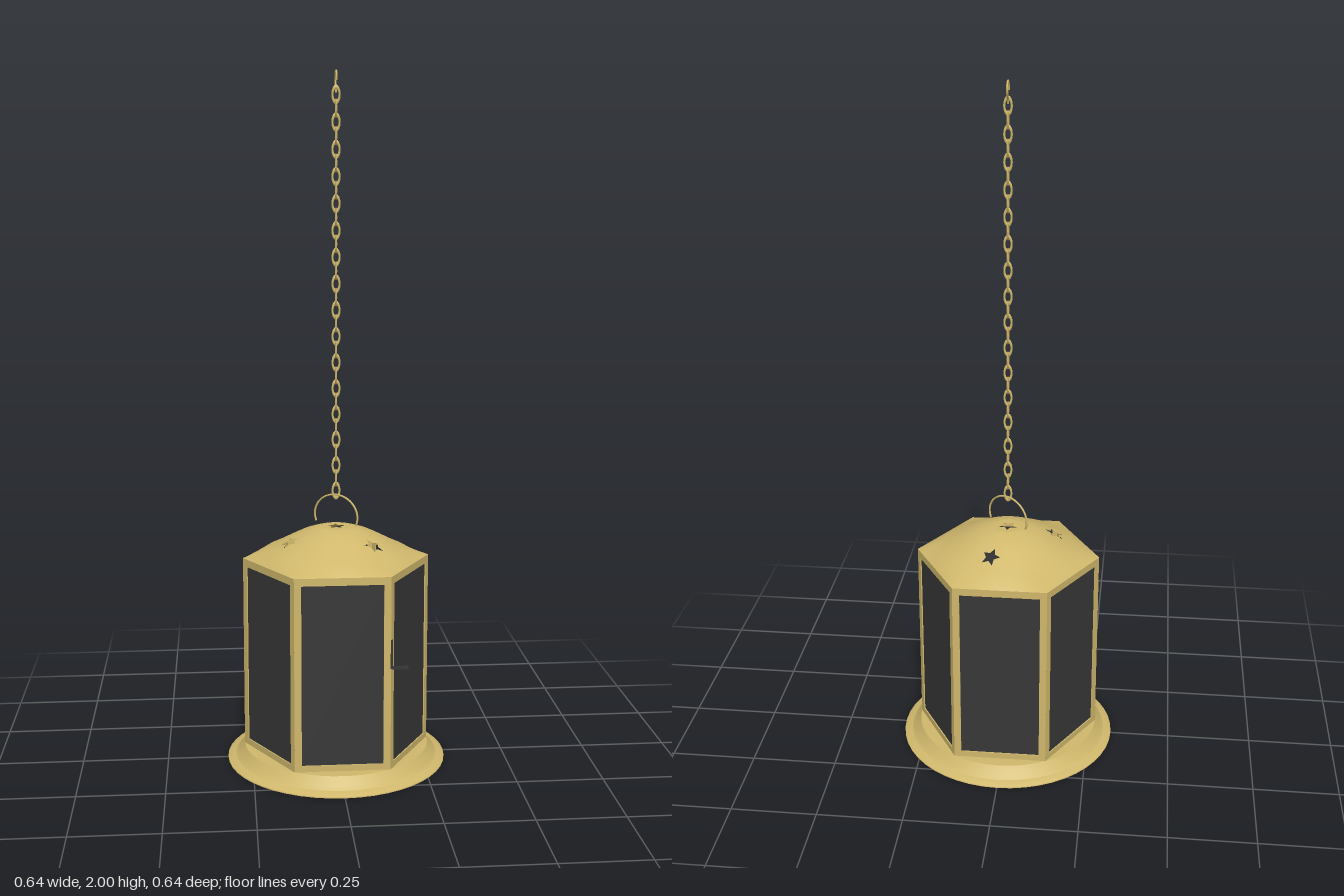
import * as THREE from 'three';
import { mergeVertices } from 'three/addons/utils/BufferGeometryUtils.js';

const brass = new THREE.MeshStandardMaterial({ color: 0xd0b86c, side: THREE.DoubleSide });
brass.name = 'brass';
const glass = new THREE.MeshStandardMaterial({ color: 0x383838, side: THREE.DoubleSide });
glass.name = 'dark glass';

const APOTHEM = 0.236, SIDE = 0.272, ROOF_Y = 0.61, SEGS = 48;

function part(parent, name, geometry, material) {
  const mesh = new THREE.Mesh(geometry, material);
  mesh.name = name;
  parent.add(mesh);
  return mesh;
}

const lathe = (points) => new THREE.LatheGeometry(points.map(([x, y]) => new THREE.Vector2(x, y)), 48);

function starPath(cx, cy, radius, turn) {
  const points = [];
  for (let i = 0; i < 10; i++) {
    const r = i % 2 ? radius * 0.48 : radius, a = turn + (i * Math.PI) / 5;
    points.push(new THREE.Vector2(cx + r * Math.cos(a), cy + r * Math.sin(a)));
  }
  return new THREE.Path(points);
}

// Domed roof: round rings blending into a hexagonal rim, with star holes
function roofGeometry() {
  const rings = [0.045, 0.06, 0.08, 0.1, 0.125, 0.15, 0.18, 0.21];
  const heights = [0.701, 0.698, 0.692, 0.685, 0.673, 0.66, 0.644, 0.63];
  const last = rings.length;
  const heightAt = (r) => {
    if (r <= rings[0]) return heights[0];
    const k = Math.max(1, rings.findIndex((v) => v >= r - 1e-6));
    const t = (r - rings[k - 1]) / (rings[k] - rings[k - 1]);
    return heights[k - 1] + t * (heights[k] - heights[k - 1]);
  };
  const flat = (ring, seg) => {
    const a = (seg / SEGS) * Math.PI * 2;
    const wedge = (((seg % 8) + 8) % 8 / 8) * (Math.PI / 3) - Math.PI / 6;
    const r = ring === last ? APOTHEM / Math.cos(wedge) : rings[ring];
    return new THREE.Vector2(r * Math.cos(a), r * Math.sin(a));
  };
  const positions = [];
  const put = (x, y, h) => positions.push(x, h, -y);
  const addPatch = (outline, hole) => {
    const shape = new THREE.Shape(outline);
    shape.holes.push(hole);
    const g = new THREE.ShapeGeometry(shape).toNonIndexed().attributes.position;
    for (let i = 0; i < g.count; i++) put(g.getX(i), g.getY(i), heightAt(Math.hypot(g.getX(i), g.getY(i))));
  };

  // Grid cells, skipping the ones that hold a star
  const starSegs = [10, 26, 42];
  for (let ring = 0; ring < last; ring++) {
    for (let seg = 0; seg < SEGS; seg++) {
      if (ring >= 3 && ring < 6 && starSegs.some((s) => seg >= s - 2 && seg < s + 2)) continue;
      const corners = [[ring, seg], [ring + 1, seg], [ring + 1, seg + 1], [ring, seg + 1]];
      for (const c of [0, 1, 2, 0, 2, 3]) {
        const p = flat(...corners[c]);
        put(p.x, p.y, corners[c][0] === last ? ROOF_Y : heights[corners[c][0]]);
      }
    }
  }
  // Pierced patches
  for (const s of starSegs) {
    const outline = [];
    for (let k = -2; k <= 2; k++) outline.push(flat(3, s + k));
    outline.push(flat(4, s + 2), flat(5, s + 2));
    for (let k = 2; k >= -2; k--) outline.push(flat(6, s + k));
    outline.push(flat(5, s - 2), flat(4, s - 2));
    const a = (s / SEGS) * Math.PI * 2;
    addPatch(outline, starPath(0.141 * Math.cos(a), 0.141 * Math.sin(a), 0.028, a + 0.5));
  }
  addPatch(Array.from({ length: SEGS }, (_, i) => flat(0, i)), starPath(0, 0, 0.028, Math.PI / 2));

  const geometry = new THREE.BufferGeometry();
  geometry.setAttribute('position', new THREE.Float32BufferAttribute(positions, 3));
  const welded = mergeVertices(geometry, 1e-5);
  welded.computeVertexNormals();
  return welded;
}

function rectangle(Kind, x, y0, y1) {
  return new Kind([[-x, y0], [x, y0], [x, y1], [-x, y1]].map(([a, b]) => new THREE.Vector2(a, b)));
}

export function createModel() {
  const model = new THREE.Group();
  model.name = 'hangingLantern';

  // Flared base tray: separate bands keep the creases sharp
  const base = new THREE.Group();
  base.name = 'base';
  model.add(base);
  part(base, 'baseTop', lathe([[0.272, 0.044], [0, 0.044]]), brass);
  part(base, 'baseFlare', lathe([[0.299, 0.012], [0.288, 0.021], [0.272, 0.044]]), brass);
  part(base, 'baseRim', lathe([[0.322, 0], [0.322, 0.005], [0.299, 0.012]]), brass);
  part(base, 'baseNut', new THREE.CylinderGeometry(0.013, 0.013, 0.01, 6), brass).position.y = 0.038;

  // Candle dish inside
  part(model, 'candleDish', lathe([[0, 0.05], [0.1, 0.05], [0.14, 0.11]]), brass);

  // Six framed glass walls
  const frameShape = rectangle(THREE.Shape, SIDE / 2, 0.044, ROOF_Y);
  frameShape.holes.push(rectangle(THREE.Path, 0.116, 0.062, 0.588));
  const frameGeometry = new THREE.ExtrudeGeometry(frameShape, { depth: 0.01, bevelEnabled: false });
  const paneGeometry = new THREE.BoxGeometry(0.236, 0.532, 0.003);
  for (let i = 0; i < 6; i++) {
    const wall = new THREE.Group();
    wall.name = i === 1 ? 'door' : 'wall';
    wall.rotation.y = (i * Math.PI) / 3;
    part(wall, 'frame', frameGeometry, brass).position.z = APOTHEM - 0.01;
    part(wall, 'pane', paneGeometry, glass).position.set(0, 0.325, APOTHEM - 0.005);
    model.add(wall);
  }

  // Door latch
  const latch = new THREE.Group();
  latch.name = 'latch';
  part(latch, 'latchLever', new THREE.BoxGeometry(0.046, 0.009, 0.005), glass).position.set(0.162, 0.345, 0.233);
  part(latch, 'latchPlate', new THREE.BoxGeometry(0.006, 0.085, 0.005), glass).position.set(0.138, 0.385, 0.234);
  model.add(latch);

  part(model, 'roof', roofGeometry(), brass);

  // Carrying bail
  const bailPoints = [];
  for (let i = 0; i <= 16; i++) {
    const a = -0.35 + (i / 16) * (Math.PI + 0.7);
    bailPoints.push(new THREE.Vector3(0.071 * Math.cos(a), 0.732 + 0.063 * Math.sin(a), 0));
  }
  const bail = part(model, 'bail',
    new THREE.TubeGeometry(new THREE.CatmullRomCurve3(bailPoints), 40, 0.003, 6), brass);
  bail.rotation.y = -0.59;

  // Chain of alternating links
  const chain = new THREE.Group();
  chain.name = 'chain';
  model.add(chain);
  const linkGeometry = new THREE.TorusGeometry(0.01, 0.003, 6, 16);
  linkGeometry.scale(1, 2.1, 1);
  linkGeometry.computeVertexNormals();
  const count = 31;
  for (let i = 0; i < count; i++) {
    const link = part(chain, 'link', linkGeometry, brass);
    link.position.y = 0.807 + (i / (count - 1)) * 1.125;
    link.rotation.y = i % 2 ? Math.PI / 2 : 0;
  }

  // Open hook at the top
  const hookPoints = [new THREE.Vector3(0, 1.938, 0), new THREE.Vector3(0, 1.949, -0.004)];
  for (let i = 0; i <= 10; i++) {
    const a = -1.1 + (i / 10) * 4.5;
    hookPoints.push(new THREE.Vector3(0, 1.9755 + 0.0215 * Math.sin(a), -0.0215 * Math.cos(a)));
  }
  part(model, 'hook', new THREE.TubeGeometry(new THREE.CatmullRomCurve3(hookPoints), 40, 0.003, 6), brass);

  return model;
}
